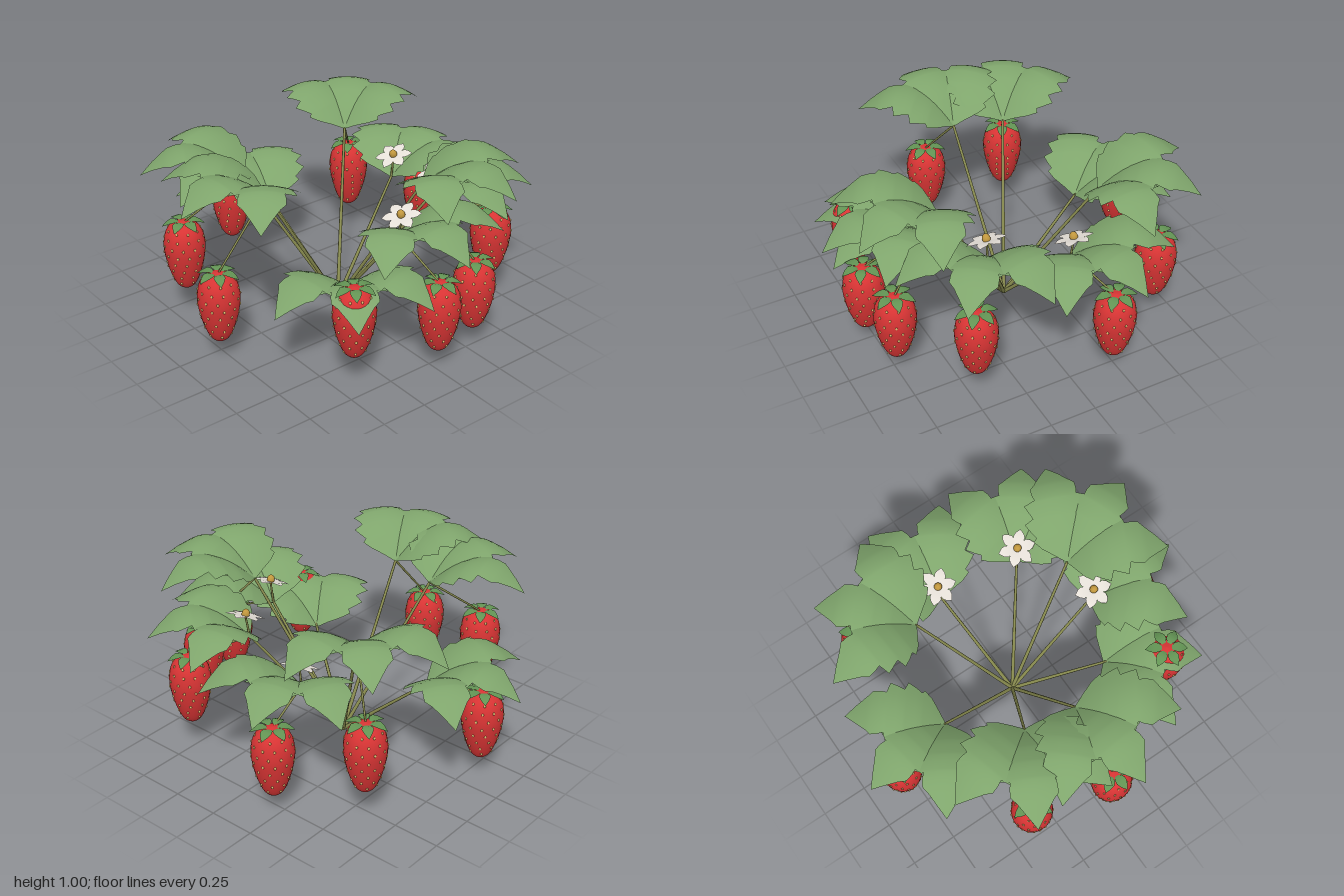
import * as THREE from 'three';
import { mergeGeometries } from 'three/addons/utils/BufferGeometryUtils.js';

const mat = (name, color, side = THREE.FrontSide) => {
  const m = new THREE.MeshStandardMaterial({ color, side });
  m.name = name;
  return m;
};

// Thin blade along +x from rows of [distance, half width, height]; droop lowers the edges
function blade(rows, droop = 0, cols = 6) {
  const pos = [], idx = [];
  rows.forEach(([l, w, y], r) => {
    for (let c = 0; c <= cols; c++) {
      const z = ((c / cols) * 2 - 1) * w;
      pos.push(l, y - droop * (z / 0.17) ** 2, z);
      if (r && c) {
        const d = r * (cols + 1) + c, b = d - cols - 1;
        idx.push(b - 1, b, d - 1, b, d, d - 1);
      }
    }
  });
  const g = new THREE.BufferGeometry();
  g.setAttribute('position', new THREE.Float32BufferAttribute(pos, 3));
  g.setIndex(idx);
  g.computeVertexNormals();
  return g;
}

// Copies of a geometry turned about y to the given angles
const fan = (geo, angles) => mergeGeometries(angles.map(a => geo.clone().rotateY(-a)));
const ring = (n, start = 0) => Array.from({ length: n }, (_, i) => start + (i / n) * Math.PI * 2);

// Straight tapered stalk between two points
function stalk(a, b, r0, r1) {
  const dir = b.clone().sub(a), len = dir.length();
  const g = new THREE.CylinderGeometry(r1, r0, len, 8).translate(0, len / 2, 0);
  g.applyQuaternion(new THREE.Quaternion().setFromUnitVectors(new THREE.Vector3(0, 1, 0), dir.normalize()));
  return g.translate(a.x, a.y, a.z);
}

export function createModel() {
  const model = new THREE.Group();
  const leafMat = mat('leaf green', 0x7fa56c, THREE.DoubleSide);
  const sepalMat = mat('sepal green', 0x639454, THREE.DoubleSide);
  const stalkMat = mat('stalk olive', 0x878a4e);
  const berryMat = mat('berry red', 0xd83434);
  const seedMat = mat('seed straw', 0xe0bc70);
  const petalMat = mat('petal white', 0xeee8e0, THREE.DoubleSide);
  const heartMat = mat('flower heart', 0xc2983e);

  const add = (parent, name, geo, material) => {
    const m = new THREE.Mesh(geo, material);
    m.name = name;
    parent.add(m);
    return m;
  };

  // Three arched, toothed leaflets
  const leafGeo = fan(blade([
    [0, 0.008, 0], [0.03, 0.055, 0.03], [0.07, 0.115, 0.068], [0.11, 0.152, 0.1], [0.122, 0.135, 0.108],
    [0.15, 0.155, 0.126], [0.195, 0.18, 0.148], [0.21, 0.135, 0.154], [0.245, 0.15, 0.164], [0.285, 0.165, 0.169],
    [0.3, 0.108, 0.169], [0.33, 0.115, 0.164], [0.37, 0.116, 0.151], [0.4, 0.088, 0.134],
    [0.455, 0.048, 0.097], [0.518, 0, 0.048],
  ], 0.035), [-0.83, 0, 0.83]);

  // Berry body
  const profile = [[0, 0], [0.025, 0.005], [0.05, 0.028], [0.072, 0.075], [0.092, 0.14], [0.105, 0.21],
    [0.108, 0.26], [0.1, 0.315], [0.08, 0.355], [0.045, 0.382], [0, 0.392]];
  const curve = new THREE.SplineCurve(profile.map(p => new THREE.Vector2(...p)));
  const outline = curve.getPoints(28).map(p => new THREE.Vector2(Math.max(0, p.x), p.y));
  const berryGeo = new THREE.LatheGeometry(outline, 28);

  // Seeds in staggered rings
  const seeds = [];
  for (let k = 0; k < 8; k++) {
    const p = curve.getPointAt(0.17 + k * 0.09);
    const n = Math.max(6, Math.round(p.x * 105));
    const s = new THREE.SphereGeometry(0.007, 10, 7).scale(0.7, 1.1, 0.9).translate(p.x, p.y, 0);
    seeds.push(fan(s, ring(n, (k % 2) * Math.PI / n)));
  }
  const seedGeo = mergeGeometries(seeds);

  // Sepals and petals
  const sepalGeo = fan(blade([[0.026, 0.01, 0], [0.042, 0.024, 0.006], [0.065, 0.029, 0.005],
    [0.088, 0.019, -0.006], [0.112, 0, -0.022]], 0, 2), ring(6));
  const petalGeo = fan(blade([[0.006, 0.008, 0], [0.03, 0.022, 0.004], [0.06, 0.031, 0.006],
    [0.08, 0.023, 0.004], [0.103, 0, 0]], 0, 2), ring(6, 0.25));
  const heartGeo = new THREE.SphereGeometry(0.021, 14, 10).scale(1, 1.2, 1);

  const hubHeights = [0.605, 0.79, 0.81, 0.635, 0.43, 0.37, 0.545, 0.79, 0.825];
  const root = new THREE.Vector3();

  hubHeights.forEach((h, i) => {
    const a = -i * Math.PI * (3 - Math.sqrt(5));
    const at = (r, y) => new THREE.Vector3(Math.cos(a) * r, y, Math.sin(a) * r);
    const hub = at(0.49, h);

    const shoot = new THREE.Group();
    shoot.name = 'shoot' + (i + 1);
    shoot.position.set(-0.012, 0, -0.014);
    model.add(shoot);
    add(shoot, 'leafStalk', stalk(root, hub, 0.0105, 0.007), stalkMat);
    const leaf = add(shoot, 'trifoliateLeaf', leafGeo, leafMat);
    leaf.position.copy(hub);
    leaf.rotation.y = -a;

    // Hanging berry
    const base = i % 2 ? 0.17 : 0.1;
    add(shoot, 'berryStalk', stalk(hub, at(0.806, base + 0.38), 0.0065, 0.005), stalkMat);
    const berry = new THREE.Group();
    berry.name = 'berry';
    berry.position.copy(at(0.806, base));
    berry.rotation.y = -a;
    add(berry, 'berryBody', berryGeo, berryMat);
    add(berry, 'berrySeeds', seedGeo, seedMat);
    add(berry, 'sepals', sepalGeo, sepalMat).position.y = 0.389;
    shoot.add(berry);

    // Blossom above every third leaf
    if (i % 3 === 0) {
      const top = at(0.508, h + 0.118);
      add(shoot, 'flowerStalk', stalk(hub, top, 0.006, 0.005), stalkMat);
      const flower = new THREE.Group();
      flower.name = 'flower';
      flower.position.copy(top);
      flower.rotation.set(0.35, 0, -0.05);
      add(flower, 'petals', petalGeo, petalMat);
      add(flower, 'flowerHeart', heartGeo, heartMat).position.y = 0.012;
      shoot.add(flower);
    }
  });
  return model;
}
